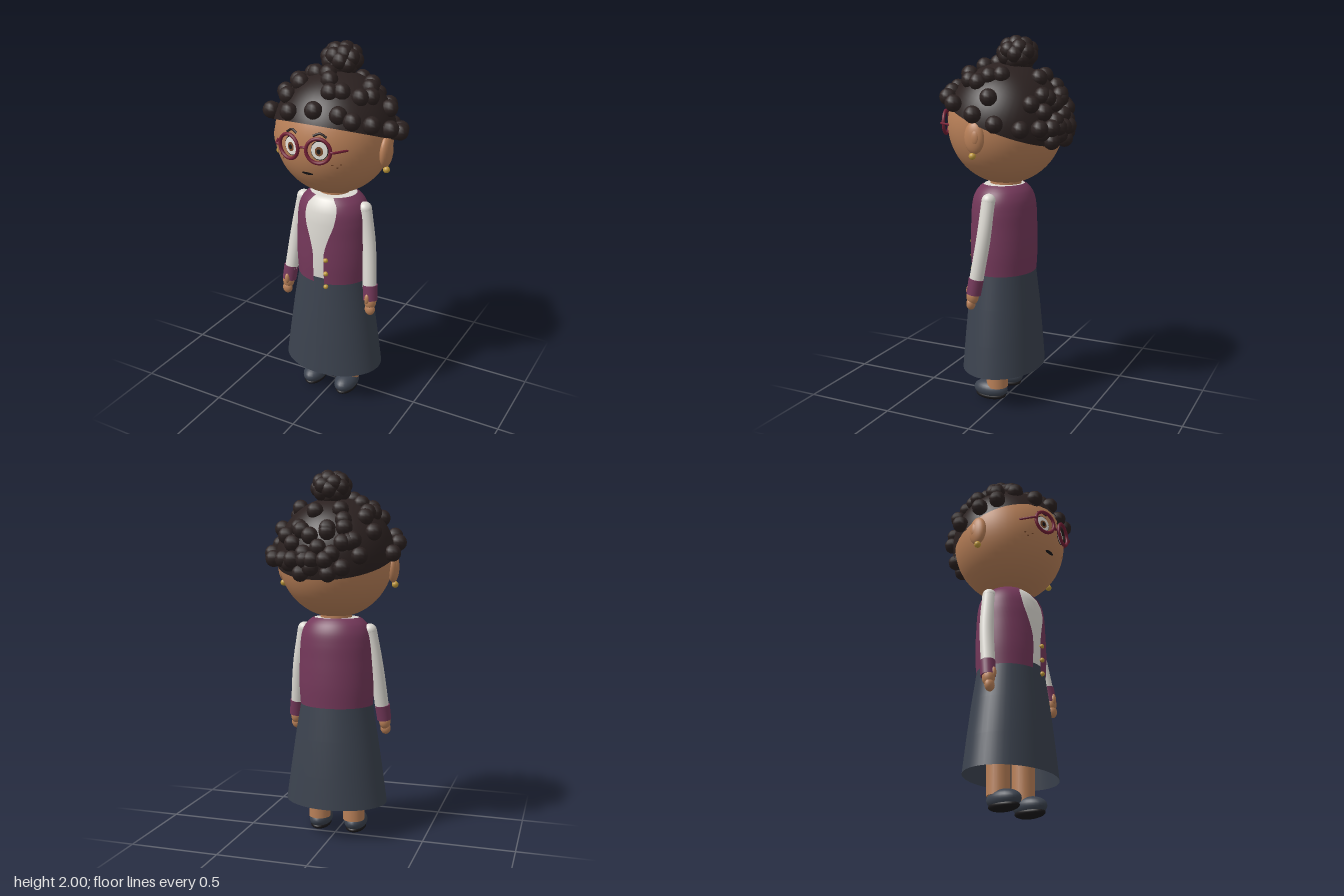
import * as THREE from 'three';
import { ParametricGeometry } from 'three/addons/geometries/ParametricGeometry.js';

const V = (x, y, z) => new THREE.Vector3(x, y, z);
const HEAD = { y: 1.54, z: 0.02, r: 0.31, ry: 0.32 };

function material(name, color, side = THREE.FrontSide) {
  const m = new THREE.MeshStandardMaterial({ color, side });
  m.name = name;
  return m;
}

export function createModel() {
  const model = new THREE.Group();
  model.name = 'woman';
  const mat = {
    hair: material('dark hair', 0x2b2120),
    skin: material('skin', 0xb98058),
    vest: material('plum vest', 0x74385a, THREE.DoubleSide),
    skirt: material('slate cloth', 0x3b424e, THREE.DoubleSide),
    shirt: material('off-white shirt', 0xdcd9d2),
    frame: material('red frames', 0x742036),
    gold: material('gold', 0xc09a3c),
    black: material('black', 0x1a181a),
    brown: material('brown', 0x7c4c2e),
    eye: material('eye white', 0xeeeae2),
  };

  function add(name, geometry, m, parent = model) {
    const mesh = new THREE.Mesh(geometry, m);
    mesh.name = name;
    parent.add(mesh);
    return mesh;
  }
  function ball(name, m, x, y, z, rx, ry = rx, rz = rx, parent = model) {
    const mesh = add(name, new THREE.SphereGeometry(1, 24, 16), m, parent);
    mesh.position.set(x, y, z);
    mesh.scale.set(rx, ry, rz);
    return mesh;
  }
  function tube(name, m, points, radius, parent = model) {
    const curve = new THREE.CatmullRomCurve3(points);
    return add(name, new THREE.TubeGeometry(curve, 14, radius, 14), m, parent);
  }

  // Head and hair cap
  const headGroup = new THREE.Group();
  headGroup.name = 'head';
  model.add(headGroup);
  const head = add('skull', new THREE.SphereGeometry(1, 48, 32), mat.skin, headGroup);
  head.position.set(0, HEAD.y, HEAD.z);
  head.scale.set(HEAD.r, HEAD.ry, HEAD.r);
  const cap = add('hairCap',
    new THREE.SphereGeometry(0.322, 48, 20, 0, Math.PI * 2, 0, Math.PI / 2 - 0.03), mat.hair, headGroup);
  cap.position.copy(head.position);
  cap.rotation.x = -0.36;

  // Curls over the cap: crown as x,z and back as x,y, in hundredths
  const curls = new THREE.Group();
  curls.name = 'curls';
  headGroup.add(curls);
  const curlGeometry = new THREE.SphereGeometry(0.045, 10, 8);
  const curl = (x, y, z) => add('curl', curlGeometry, mat.hair, curls).position.set(x, y, z);
  const crown = [
    -4, -32, 3, -32, -12, -28, -17, -25, -4, -27, -11, -22, 10, -26, 14, -30, 7, -31, 20, -26, 28, -19,
    33, -7, 29, -2, 33, 5, 29, 18, 22, 25, 15, 26, 12, 17, 20, 13, 18, -4, 20, 2, 23, 7, 7, 20, 3, 13,
    3, 29, -1, 7, -9, 5, -19, 6, -23, 12, -29, 17, -33, 8, -33, -6, -25, -15, -20, -13, -20, -8,
    -22, -3, -15, -2, -13, 14, -17, 20, -11, 29, 5, -19, -8, -17];
  for (let i = 0; i < crown.length; i += 2) {
    const x = crown[i] / 100, z = crown[i + 1] / 100;
    const d = Math.hypot(x, z - HEAD.z) / 0.335;
    const rim = 1.6 + 0.38 * (z - HEAD.z);
    curl(x, Math.max(rim, HEAD.y + 0.32 * Math.sqrt(Math.max(0, 1 - d * d))), z);
  }
  const back = [
    -20, 156, -12, 150, -5, 147, 4, 150, 10, 147, 17, 152, -15, 163, -7, 157,
    0, 160, 8, 157, 15, 162, 5, 166, -4, 168, 12, 170, -12, 170, 20, 166];
  for (let i = 0; i < back.length; i += 2) {
    const x = back[i] / 100, y = back[i + 1] / 100;
    curl(x, y, HEAD.z - Math.sqrt(0.328 ** 2 - x * x - (y - HEAD.y) ** 2));
  }

  // Bun: a core covered with evenly spread curls
  ball('bunCore', mat.hair, 0, 1.9, -0.05, 0.085, 0.07, 0.08, curls);
  for (let i = 0; i < 24; i++) {
    const h = 1 - (2 * i + 1) / 24, s = Math.sqrt(1 - h * h), a = i * 2.4;
    curl(0.005 + 0.07 * s * Math.cos(a), 1.91 + 0.048 * h, -0.05 + 0.068 * s * Math.sin(a));
  }

  // Face details wrapped onto the front of the head
  const surfaceZ = (x, y) => HEAD.z +
    HEAD.r * Math.sqrt(Math.max(0, 1 - (x / HEAD.r) ** 2 - ((y - HEAD.y) / HEAD.ry) ** 2));
  function faceDisc(name, m, x, y, rx, ry, lift) {
    const g = new THREE.CircleGeometry(1, 28);
    const p = g.attributes.position;
    for (let i = 0; i < p.count; i++) {
      const px = x + p.getX(i) * rx, py = y + p.getY(i) * ry;
      p.setXYZ(i, px, py, surfaceZ(px, py) + lift);
    }
    g.computeVertexNormals();
    return add(name, g, m, headGroup);
  }
  faceDisc('mouth', mat.black, 0, 1.403, 0.033, 0.008, 0.003);

  for (const s of [-1, 1]) {
    faceDisc('eyeOutline', mat.black, s * 0.08, 1.54, 0.043, 0.05, 0.002);
    faceDisc('eyeWhite', mat.eye, s * 0.08, 1.54, 0.04, 0.046, 0.004);
    faceDisc('iris', mat.brown, s * 0.08, 1.537, 0.02, 0.024, 0.006);
    faceDisc('pupil', mat.black, s * 0.08, 1.537, 0.01, 0.013, 0.008);
    for (const [x, y] of [[0.135, 1.465], [0.155, 1.45], [0.172, 1.467]])
      faceDisc('freckle', mat.brown, s * x, y, 0.005, 0.004, 0.002);
    tube('eyebrow', mat.hair, [[0.045, 1.61], [0.08, 1.623], [0.112, 1.605]]
      .map(([x, y]) => V(s * x, y, surfaceZ(x, y) + 0.002)), 0.006, headGroup);

    // Ears and earrings
    ball('ear', mat.skin, s * 0.31, 1.492, 0.05, 0.03, 0.082, 0.055, headGroup);
    ball('innerEar', mat.skin, s * 0.327, 1.495, 0.04, 0.015, 0.042, 0.026, headGroup);
    ball('earring', mat.gold, s * 0.318, 1.4, 0.058, 0.018, 0.018, 0.018, headGroup);

    // Glasses
    const ring = add('glassesRing', new THREE.TorusGeometry(0.062, 0.009, 12, 36), mat.frame, headGroup);
    ring.position.set(s * 0.083, 1.543, 0.338);
    ring.rotation.y = s * 0.25;
    tube('glassesTemple', mat.frame,
      [V(s * 0.147, 1.543, 0.328), V(s * 0.158, 1.543, 0.328), V(s * 0.2, 1.54, 0.25)], 0.006, headGroup);
  }
  tube('glassesBridge', mat.frame, [V(-0.022, 1.545, 0.337), V(0, 1.55, 0.339), V(0.022, 1.545, 0.337)],
    0.006, headGroup);

  // Torso: oval profile shared by the shirt and the open vest
  const DEPTH = 0.85, MID = 0.03;
  const profile = [
    // y, radius, half width of the front opening
    [0.74, 0.203, 0.032], [0.84, 0.209, 0.032], [0.92, 0.209, 0.034], [1.0, 0.206, 0.055],
    [1.08, 0.202, 0.083], [1.14, 0.192, 0.091], [1.18, 0.173, 0.085], [1.205, 0.15, 0.066], [1.22, 0.13, 0.052]];
  function oval(name, points, m) {
    const g = new THREE.LatheGeometry(points.map(([r, y]) => new THREE.Vector2(r, y)), 48);
    const mesh = add(name, g, m);
    mesh.scale.z = DEPTH;
    mesh.position.z = MID;
    return mesh;
  }
  oval('shirt', [...profile.map(([y, r]) => [r - 0.008, Math.max(y, 0.765)]), [0, 1.222]], mat.shirt);
  const curve = new THREE.CatmullRomCurve3(profile.map(([y, r, w]) => V(r, y, w)));
  const p = V(0, 0, 0);
  add('vest', new ParametricGeometry((u, v, target) => {
    curve.getPoint(v, p);
    const gap = Math.asin(p.z / p.x);
    const a = gap + u * 2 * (Math.PI - gap);
    target.set(p.x * Math.sin(a), p.y, MID + DEPTH * p.x * Math.cos(a));
  }, 56, 28), mat.vest);
  for (const y of [0.885, 0.805, 0.727]) ball('button', mat.gold, 0.045, y, 0.204, 0.013);
  add('neck', new THREE.CylinderGeometry(0.085, 0.085, 0.08, 24), mat.skin).position.set(0, 1.23, 0.02);

  // Skirt, open at the hem
  oval('skirt', [[0.286, 0.19], [0.262, 0.36], [0.232, 0.56], [0.201, 0.74], [0.199, 0.77]], mat.skirt)
    .scale.z = 0.76;
  // Waist blends the rounder torso into the flatter hem
  const skirt = model.getObjectByName('skirt');
  const sp = skirt.geometry.attributes.position;
  for (let i = 0; i < sp.count; i++) {
    const t = (sp.getY(i) - 0.19) / 0.55;
    sp.setZ(i, sp.getZ(i) * (1 + 0.115 * t));
  }
  skirt.geometry.computeVertexNormals();

  for (const s of [-1, 1]) {
    // Arms
    const arm = new THREE.Group();
    arm.name = s > 0 ? 'leftArm' : 'rightArm';
    model.add(arm);
    ball('shoulder', mat.shirt, s * 0.187, 1.15, 0.032, 0.038, 0.038, 0.038, arm);
    tube('sleeve', mat.shirt,
      [V(s * 0.187, 1.15, 0.032), V(s * 0.222, 0.95, 0.047), V(s * 0.247, 0.72, 0.08)], 0.038, arm);
    const cuff = add('cuff', new THREE.CylinderGeometry(0.041, 0.039, 0.085, 24), mat.vest, arm);
    cuff.position.set(s * 0.253, 0.692, 0.084);
    cuff.rotation.set(-0.15, 0, s * 0.1);
    ball('palm', mat.skin, s * 0.26, 0.64, 0.095, 0.032, 0.045, 0.034, arm);
    ball('fingers', mat.skin, s * 0.262, 0.598, 0.104, 0.029, 0.034, 0.024, arm);
    ball('thumb', mat.skin, s * 0.252, 0.665, 0.122, 0.014, 0.03, 0.014, arm);

    // Legs and shoes
    add('leg', new THREE.CylinderGeometry(0.062, 0.06, 0.5, 24), mat.skin).position.set(s * 0.1, 0.33, 0.028);
    ball('shoe', mat.skirt, s * 0.103, 0.06, 0.066, 0.063, 0.05, 0.1);
    ball('sole', mat.black, s * 0.103, 0.026, 0.066, 0.055, 0.026, 0.09);
  }
  return model;
}
